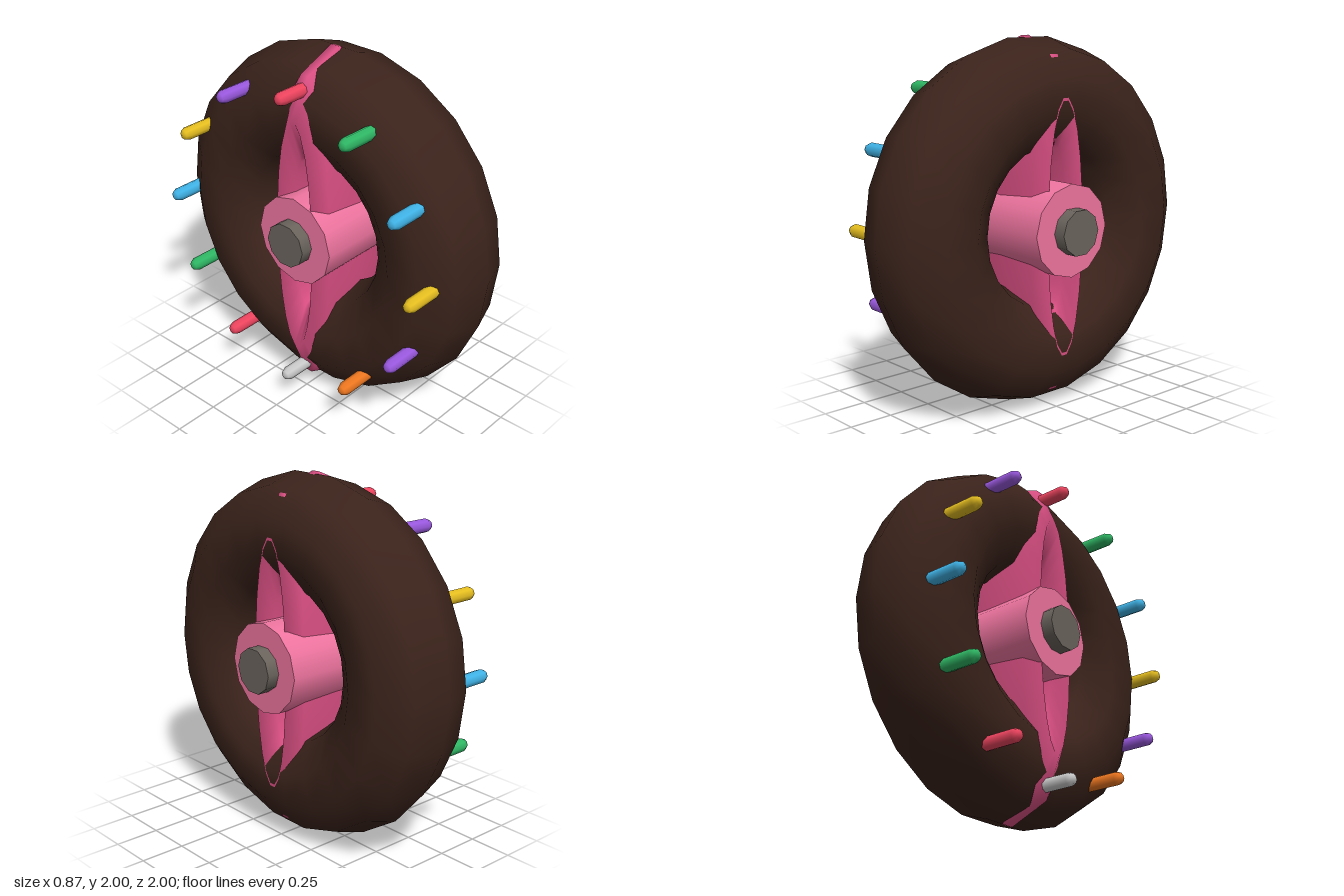
import * as THREE from 'three';

export function createModel() {
  const model = new THREE.Group();
  const wheel = new THREE.Group();
  wheel.name = 'wheel';
  wheel.position.y = 1;
  model.add(wheel);

  const add = (name, geometry, color, x = 0, y = 0, z = 0) => {
    const mesh = new THREE.Mesh(geometry, new THREE.MeshStandardMaterial({ color }));
    mesh.name = name;
    mesh.position.set(x, y, z);
    wheel.add(mesh);
    return mesh;
  };
  // Cylinder lying along x between two ends
  const axial = (name, radius, sides, x0, x1, color) =>
    add(name, new THREE.CylinderGeometry(radius, radius, x1 - x0, sides).rotateZ(Math.PI / 2),
      color, (x0 + x1) / 2);

  // Dark ring, its axis along x
  add('tire', new THREE.TorusGeometry(0.69, 0.31, 10, 22).rotateY(Math.PI / 2), 0x3b231b, 0.015);

  // Slightly fatter ring squashed sideways into a pair of lens-shaped spokes
  add('spokeRing',
    new THREE.TorusGeometry(0.69, 0.32, 8, 22).rotateY(Math.PI / 2).scale(1, 1, 0.18),
    0xd94f82, -0.007);

  // Hub and axle
  axial('hub', 0.25, 12, -0.33, 0.36, 0xf075a0);
  axial('axle', 0.125, 10, -0.4, 0.43, 0x6b645d);

  // Twelve coloured pegs around the -x face, from the top towards the front
  const colors = [0xf04560, 0x2fb865, 0x40b4e8, 0xe8c020, 0x9b59e0, 0xf07820, 0xf5f5f5];
  const pegGeometry = new THREE.CapsuleGeometry(0.0375, 0.21, 2, 8).rotateZ(Math.PI / 2);
  for (let i = 0; i < 12; i++) {
    const a = (i * Math.PI) / 6;
    add(`peg${i + 1}`, pegGeometry, colors[i % colors.length],
      -0.293, 0.835 * Math.cos(a), 0.835 * Math.sin(a));
  }

  return model;
}
